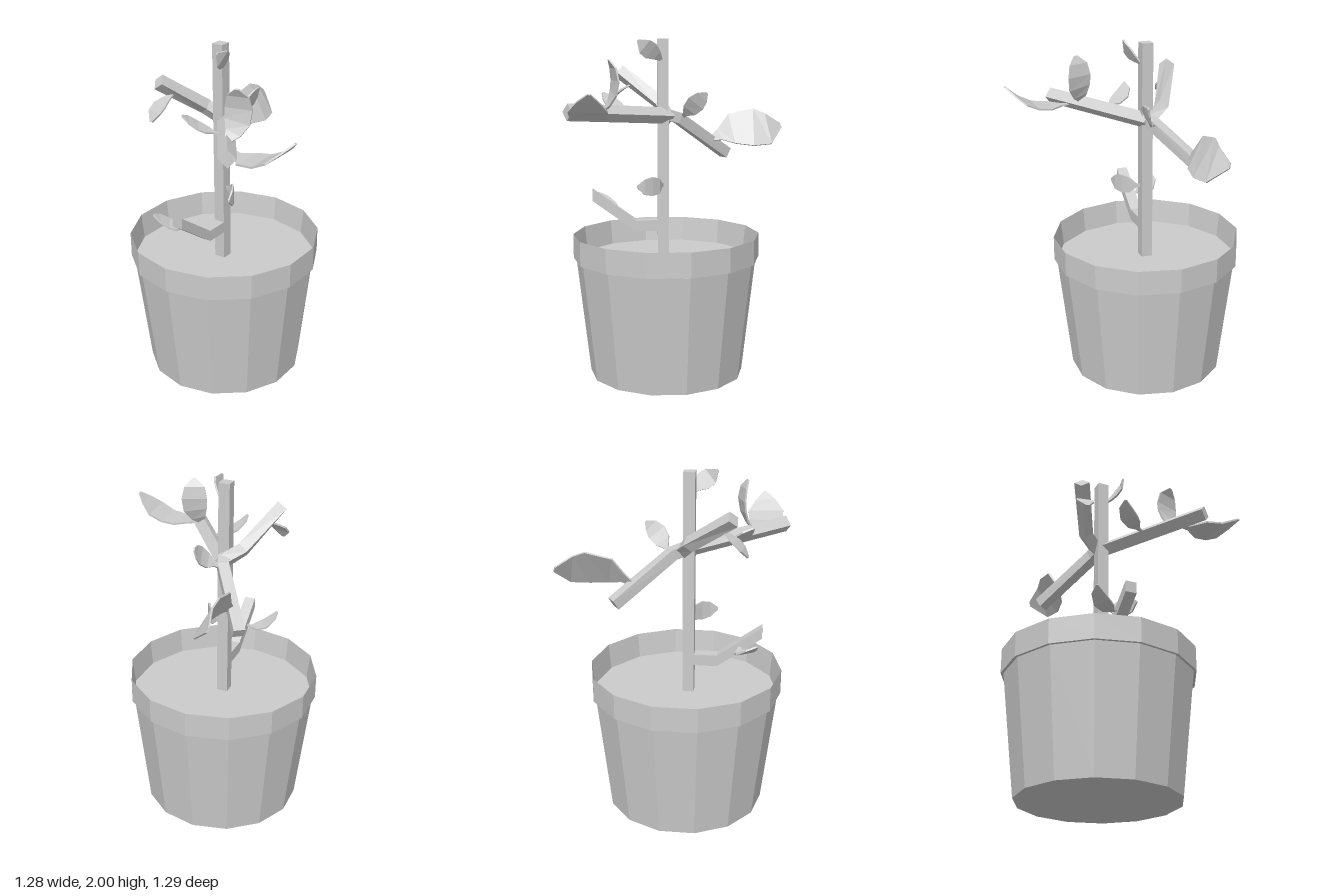
import * as THREE from 'three';

const V = (p) => new THREE.Vector3(...p);
const material = new THREE.MeshStandardMaterial({ color: 0xcccccc, flatShading: true });

function addMesh(parent, name, geometry) {
  const flat = geometry.index ? geometry.toNonIndexed() : geometry;
  flat.computeVertexNormals();
  const mesh = new THREE.Mesh(flat, material);
  mesh.name = name;
  parent.add(mesh);
  return mesh;
}

// Four-cornered section around centre c, facing along t, with its width along u
function section(c, t, side, halfWidth, halfThick, roll = 0) {
  const u = side.clone().addScaledVector(t, -side.dot(t)).normalize();
  u.applyAxisAngle(t, roll);
  const v = t.clone().cross(u);
  return [[1, 1], [-1, 1], [-1, -1], [1, -1]].map(([a, b]) =>
    c.clone().addScaledVector(u, a * halfWidth).addScaledVector(v, b * halfThick));
}

// Closed solid through a row of sections
function loft(rings) {
  const corners = [];
  const quad = (a, b, c, d) => corners.push(a, b, c, a, c, d);
  for (let r = 0; r < rings.length - 1; r++) {
    for (let i = 0; i < 4; i++) {
      const j = (i + 1) % 4;
      quad(rings[r][i], rings[r][j], rings[r + 1][j], rings[r + 1][i]);
    }
  }
  quad(...[...rings[0]].reverse());
  quad(...rings[rings.length - 1]);
  return new THREE.BufferGeometry().setFromPoints(corners);
}

function tangentAt(pts, i) {
  const dir = (a, b) => pts[b].clone().sub(pts[a]).normalize();
  const t = new THREE.Vector3();
  if (i > 0) t.add(dir(i - 1, i));
  if (i < pts.length - 1) t.add(dir(i, i + 1));
  return t.normalize();
}

// Square branch; a fixed facing keeps all sections parallel
function branch(path, half, roll, facing) {
  const pts = path.map(V);
  return loft(pts.map((p, i) => {
    const t = facing ? V(facing) : tangentAt(pts, i);
    const side = new THREE.Vector3(0, 1, 0).cross(t);
    return section(p, t, side, half, half, roll);
  }));
}

// Thin bent leaf; each point is x, y, z, half width
function leaf(path, side) {
  const pts = path.map(([x, y, z]) => V([x, y, z]));
  return loft(pts.map((p, i) =>
    section(p, tangentAt(pts, i), V(side), path[i][3], 0.005)));
}

export function createModel() {
  const model = new THREE.Group();
  model.name = 'pottedPlant';

  // Pot, rim and soil, 14 sided
  const turned = (name, profile) => {
    const g = new THREE.LatheGeometry(profile.map((p) => new THREE.Vector2(...p)), 14);
    addMesh(model, name, g).position.set(-0.098, 0, 0.072);
  };
  turned('pot', [[0, 0], [0.462, 0], [0.541, 0.705]]);
  turned('rim', [[0.541, 0.705], [0.557, 0.705], [0.557, 0.85], [0.541, 0.7]]);
  turned('soil', [[0.541, 0.7], [0, 0.7]]);

  // Stem
  const stem = new THREE.BoxGeometry(0.066, 1.31, 0.066);
  addMesh(model, 'stem', stem).position.set(-0.098, 1.345, 0.09);

  // Branches
  const branches = new THREE.Group();
  branches.name = 'branches';
  model.add(branches);
  addMesh(branches, 'lowBranch', branch(
    [[-0.098, 0.903, 0.09], [-0.098, 0.903, 0.255], [-0.098, 1.087, 0.51]], 0.033, 0, [0, 0, 1]));
  addMesh(branches, 'frontBranch', branch(
    [[-0.1, 1.555, 0.05], [0.325, 1.605, 0.617]], 0.034, Math.PI / 4));
  addMesh(branches, 'backBranch', branch(
    [[-0.1, 1.56, 0.06], [-0.12, 1.54, 0], [-0.335, 1.31, -0.3]], 0.032, 0));
  addMesh(branches, 'raisedBranch', branch(
    [[-0.1, 1.55, 0.05], [-0.2, 1.62, 0.1], [-0.33, 1.805, 0.345]], 0.032, Math.PI / 4));

  // Leaves: path from stalk to tip, then the direction of the width
  const leaves = new THREE.Group();
  leaves.name = 'leaves';
  model.add(leaves);
  const leafList = {
    frontBranchEndLeaf: [[[0.24, 1.585, 0.47, 0.012], [0.29, 1.575, 0.48, 0.02],
      [0.36, 1.572, 0.495, 0.09], [0.45, 1.582, 0.495, 0.1], [0.53, 1.62, 0.493, 0.105],
      [0.59, 1.672, 0.487, 0.06], [0.633, 1.715, 0.48, 0.008]], [0, 0, 1]],
    backBranchEndLeaf: [[[-0.255, 1.4, -0.2, 0.012], [-0.245, 1.43, -0.26, 0.04],
      [-0.235, 1.465, -0.33, 0.1], [-0.227, 1.475, -0.46, 0.122], [-0.235, 1.465, -0.55, 0.1],
      [-0.295, 1.48, -0.633, 0.015]], [0.12, -0.215, 0]],
    frontBranchUprightLeaf: [[[0.185, 1.6, 0.43, 0.01], [0.2, 1.645, 0.395, 0.045],
      [0.21, 1.7, 0.37, 0.07], [0.212, 1.77, 0.36, 0.075], [0.215, 1.84, 0.37, 0.06],
      [0.225, 1.885, 0.392, 0.01]], [0.95, 0, -0.3]],
    frontBranchInnerLeaf: [[[0.07, 1.58, 0.32, 0.008], [0.035, 1.59, 0.335, 0.012],
      [0, 1.6, 0.35, 0.045], [-0.045, 1.625, 0.375, 0.055], [-0.08, 1.66, 0.41, 0.04],
      [-0.095, 1.69, 0.443, 0.006]], [0.5, 0, 0.85]],
    topLeaf: [[[-0.07, 1.88, 0.1, 0.008], [-0.045, 1.905, 0.125, 0.03],
      [-0.025, 1.93, 0.16, 0.052], [-0.01, 1.955, 0.195, 0.048],
      [-0.015, 1.99, 0.235, 0.006]], [0.2, 0.75, -0.6]],
    middleLeaf: [[[-0.075, 1.15, 0.09, 0.008], [-0.045, 1.15, 0.1, 0.012],
      [-0.01, 1.15, 0.115, 0.045], [0.025, 1.152, 0.155, 0.056], [0.05, 1.152, 0.2, 0.045],
      [0.06, 1.155, 0.245, 0.006]], [0, 1, 0]],
    lowBranchLeaf: [[[-0.11, 1, 0.39, 0.008], [-0.15, 0.99, 0.385, 0.012],
      [-0.185, 0.988, 0.4, 0.045], [-0.23, 1.005, 0.42, 0.055], [-0.268, 1.04, 0.455, 0.04],
      [-0.287, 1.07, 0.488, 0.006]], [0.5, 0, 0.85]],
    backLeaf: [[[-0.12, 1.54, -0.02, 0.008], [-0.085, 1.565, -0.04, 0.015],
      [-0.055, 1.59, -0.065, 0.045], [-0.03, 1.63, -0.1, 0.055], [-0.02, 1.665, -0.135, 0.04],
      [-0.018, 1.69, -0.165, 0.006]], [0.2, 0.65, 0.7]],
    raisedBranchLeaf: [[[-0.285, 1.73, 0.28, 0.008], [-0.3, 1.705, 0.325, 0.03],
      [-0.315, 1.68, 0.36, 0.05], [-0.325, 1.645, 0.395, 0.048],
      [-0.325, 1.6, 0.425, 0.01]], [1, 0, 0.2]],
  };
  for (const [name, [path, side]] of Object.entries(leafList)) {
    addMesh(leaves, name, leaf(path, side));
  }
  return model;
}
